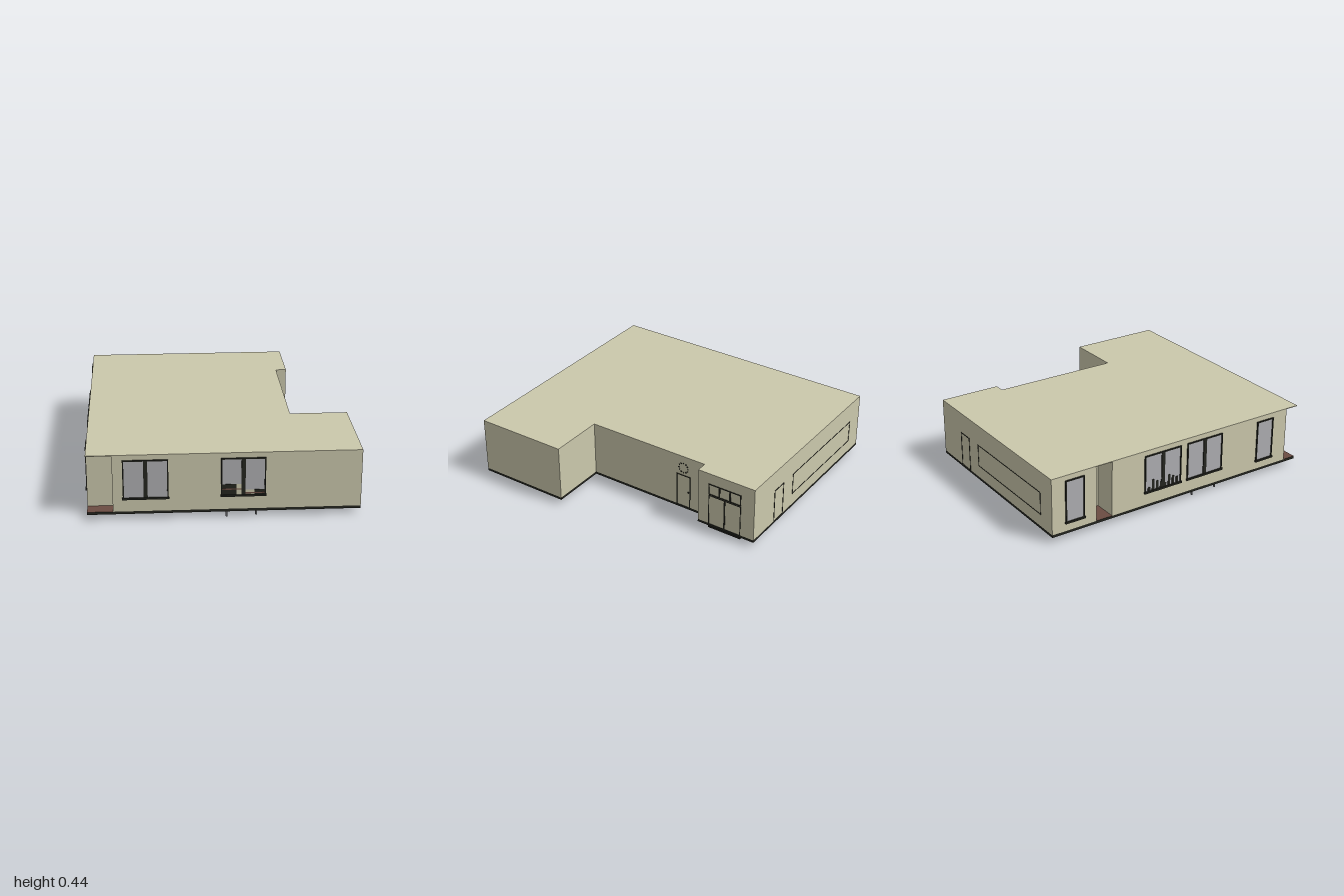
import * as THREE from 'three';

const mat = (name, color) => Object.assign(new THREE.MeshStandardMaterial({ color }), { name });

export function createModel() {
  const wallMat = mat('cream wall', 0xcbc8ac);
  const darkMat = mat('dark frame', 0x24251f);
  const glassMat = mat('grey blind', 0xafafb2);
  const floorMat = mat('brown floor', 0x6b4c42);
  const postMat = mat('grey post', 0x77787a);

  const house = new THREE.Group();
  house.name = 'house';

  // Flat slab cut to a plan outline given as [x, z] points
  function slab(name, plan, y0, y1, materials) {
    const shape = new THREE.Shape(plan.map(([x, z]) => new THREE.Vector2(x, -z)));
    const geo = new THREE.ExtrudeGeometry(shape, { depth: y1 - y0, bevelEnabled: false });
    geo.rotateX(-Math.PI / 2);
    const mesh = new THREE.Mesh(geo, materials);
    mesh.name = name;
    mesh.position.y = y0;
    house.add(mesh);
  }

  // Box spanning x0..x1, y0..y1, z0..z1
  function box(parent, name, material, x0, x1, y0, y1, z0, z1) {
    const mesh = new THREE.Mesh(new THREE.BoxGeometry(x1 - x0, y1 - y0, z1 - z0), material);
    mesh.name = name;
    mesh.position.set((x0 + x1) / 2, (y0 + y1) / 2, (z0 + z1) / 2);
    parent.add(mesh);
    return mesh;
  }

  // Group lying on a wall: its own x runs along the wall, z points outwards
  function onWall(name, x, z, turn) {
    const g = new THREE.Group();
    g.name = name;
    g.position.set(x, 0, z);
    g.rotation.y = turn;
    house.add(g);
    return g;
  }
  const RIGHT = Math.PI / 2, LEFT = -Math.PI / 2, BACK = Math.PI;

  // Rectangular outline of four thin bars
  function frame(g, x0, x1, y0, y1, t, d) {
    box(g, 'frameSide', darkMat, x0, x0 + t, y0, y1, 0, d);
    box(g, 'frameSide', darkMat, x1 - t, x1, y0, y1, 0, d);
    box(g, 'frameTop', darkMat, x0 + t, x1 - t, y1 - t, y1, 0, d);
    box(g, 'frameBottom', darkMat, x0 + t, x1 - t, y0, y0 + t, 0, d);
  }

  // Framed window with a sill and, when double, a centre mullion
  function makeWindow(name, x, z, turn, width, y0, y1, double) {
    const g = onWall(name, x, z, turn), h = width / 2;
    box(g, 'blind', glassMat, -h + 0.006, h - 0.006, y0 + 0.006, y1 - 0.004, -0.003, 0.003);
    frame(g, -h, h, y0, y1, 0.008, 0.009);
    if (double) box(g, 'mullion', darkMat, -0.013, 0.013, y0, y1, 0, 0.008);
    box(g, 'sill', darkMat, -h - 0.004, h + 0.004, y0 - 0.004, y0 + 0.008, 0, 0.014);
    return g;
  }

  // Floor and roof follow the full outline
  const outline = [[-0.875, 0.985], [0.88, 0.985], [0.88, 0.33], [0.49, 0.33],
    [0.49, -0.57], [0.565, -0.57], [0.565, -0.998], [-0.875, -0.998]];
  slab('floorSlab', outline, 0.038, 0.056, [floorMat, darkMat]);
  slab('roof', outline, 0.44, 0.445, wallMat);

  // Walls step back at the front left corner and at the side porch
  slab('walls', [[-0.71, 0.985], ...outline.slice(1),
    [-0.875, -0.67], [-0.71, -0.67], [-0.71, -0.55], [-0.875, -0.55],
    [-0.875, 0.89], [-0.71, 0.89]], 0.056, 0.44, wallMat);

  // Front windows
  makeWindow('frontWindow', -0.5, 0.985, 0, 0.29, 0.145, 0.41, true);
  const open = makeWindow('frontWindowHalfOpen', 0.122, 0.985, 0, 0.285, 0.15, 0.41, true);
  // Room seen below the raised blinds
  box(open, 'roomDark', darkMat, -0.134, -0.045, 0.158, 0.23, 0.003, 0.005);
  box(open, 'roomWall', wallMat, -0.045, -0.013, 0.158, 0.23, 0.003, 0.005);
  box(open, 'roomWall', wallMat, 0.013, 0.07, 0.158, 0.19, 0.003, 0.005);
  box(open, 'roomDark', darkMat, 0.07, 0.134, 0.158, 0.19, 0.003, 0.005);
  box(open, 'tableEdge', floorMat, -0.134, -0.013, 0.192, 0.2, 0.004, 0.006);
  box(open, 'tableEdge', floorMat, 0.013, 0.134, 0.164, 0.172, 0.004, 0.006);

  // Left side windows
  makeWindow('leftWindowNarrow', -0.875, -0.83, LEFT, 0.14, 0.115, 0.41, false);
  const planted = makeWindow('leftWindow', -0.875, -0.155, LEFT, 0.29, 0.145, 0.41, true);
  makeWindow('leftWindow', -0.875, 0.185, LEFT, 0.29, 0.145, 0.41, true);
  makeWindow('leftWindowNarrow', -0.875, 0.7, LEFT, 0.14, 0.115, 0.41, false);
  // Dark plants along the sill
  for (let i = 0; i < 8; i++) {
    const x = -0.12 + i * 0.032;
    box(planted, 'plant', darkMat, x, x + 0.018, 0.15, 0.18 + 0.016 * ((i * 3) % 4), 0.003, 0.006);
  }

  // Back door and long garage panel
  const backDoor = onWall('backDoor', 0.25, -0.998, BACK);
  frame(backDoor, -0.06, 0.06, 0.05, 0.3, 0.007, 0.002);
  const panel = onWall('longBackPanel', -0.335, -0.998, BACK);
  frame(panel, -0.405, 0.405, 0.14, 0.3, 0.005, 0.002);

  // Glazed entrance on the right: three panes over double doors
  const entrance = onWall('entrance', 0.565, -0.775, RIGHT);
  for (let i = 0; i < 3; i++) {
    const x = -0.123 + i * 0.082;
    frame(entrance, x, x + 0.082, 0.285, 0.368, 0.006, 0.004);
  }
  for (const [a, b] of [[-0.123, 0], [0, 0.123]]) frame(entrance, a, b, 0.05, 0.28, 0.005, 0.003);
  box(entrance, 'doorstep', darkMat, -0.123, 0.123, 0.026, 0.038, -0.02, 0.003);

  // Plain side door with a ring ornament and a bell beside it
  const sideDoor = onWall('sideDoor', 0.49, -0.405, RIGHT);
  frame(sideDoor, -0.055, 0.055, 0.05, 0.3, 0.006, 0.003);
  box(sideDoor, 'handle', darkMat, 0.035, 0.043, 0.17, 0.18, 0, 0.006);
  box(sideDoor, 'bell', darkMat, 0.118, 0.128, 0.2, 0.216, 0, 0.004);
  for (let i = 0; i < 12; i++) {
    const a = (i / 12) * Math.PI * 2, x = 0.036 * Math.cos(a), y = 0.355 + 0.036 * Math.sin(a);
    box(sideDoor, 'ringBead', darkMat, x - 0.004, x + 0.004, y - 0.004, y + 0.004, 0, 0.003);
  }

  // Small posts under the edge
  for (const [x, z, y] of [[0.015, 0.978, 0], [0.205, 0.978, 0.01], [-0.86, 0.29, 0.012], [-0.86, 0.1, 0.008]])
    box(house, 'post', postMat, x - 0.005, x + 0.005, y, 0.038, z - 0.004, z + 0.004);

  return house;
}
